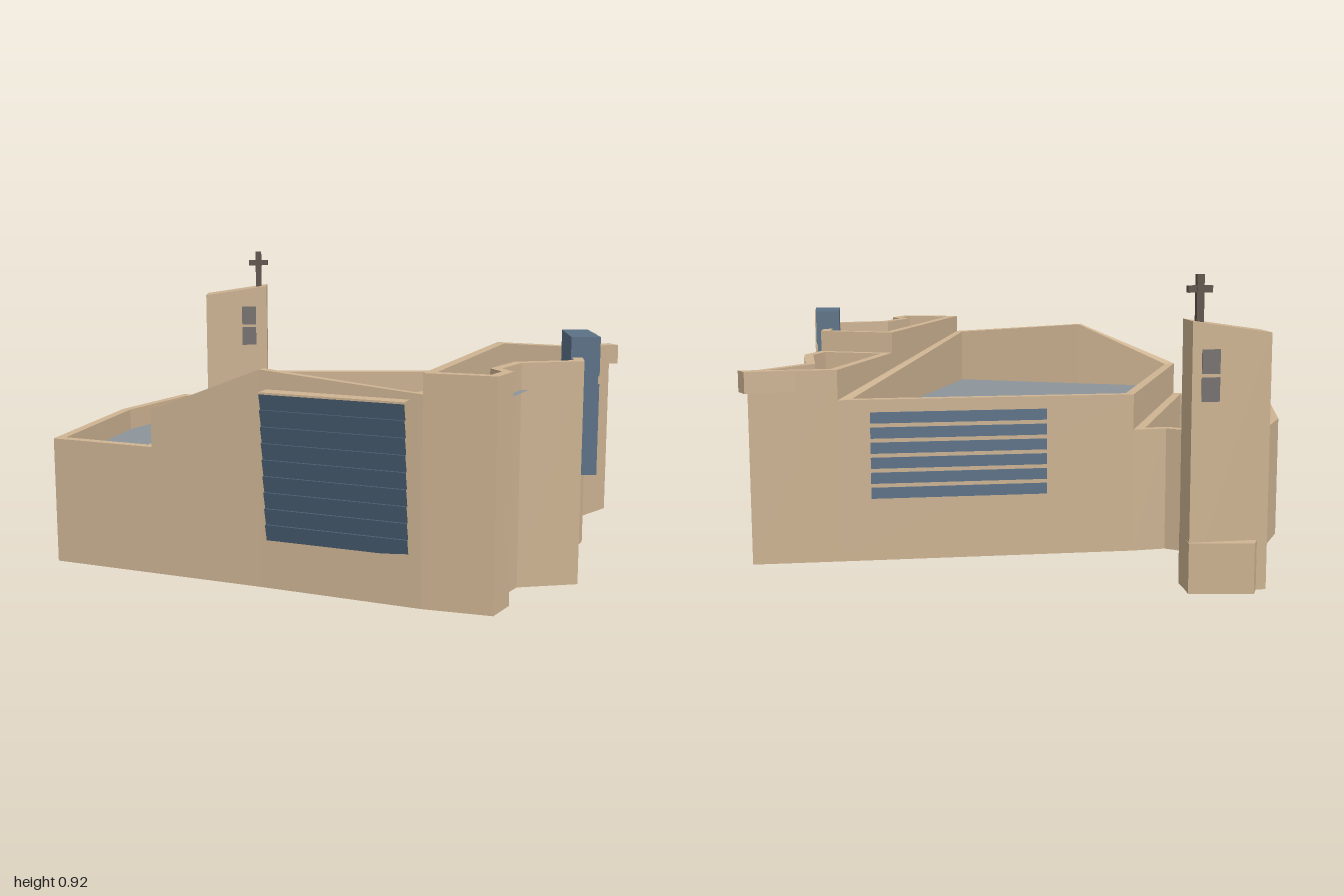
import * as THREE from 'three';

const mat = (color) => new THREE.MeshStandardMaterial({ color, flatShading: true });
const STONE = mat(0xcdb392), GLASS = mat(0x5b7186), DARK = mat(0x4b6174);
const BRONZE = mat(0x5f5048), GREY = mat(0x74706e);
const ROOF = mat(0x8c949a);
ROOF.side = THREE.DoubleSide;

const WALL = 0.03;

// Plan corners: [x, z, optional height]
const A = [-0.75, 0.2], B = [-0.13, -0.395], C = [0.73, -0.02], D = [-0.14, 0.825], E = [0.38, 0.325], F = [0.565, 0.51];

function addMesh(group, name, geometry, material) {
  const mesh = new THREE.Mesh(geometry, material);
  mesh.name = name;
  group.add(mesh);
  return mesh;
}

function quadGeometry(quads) {
  const pos = [];
  for (const [a, b, c, d] of quads) pos.push(...a, ...b, ...c, ...a, ...c, ...d);
  const g = new THREE.BufferGeometry();
  g.setAttribute('position', new THREE.Float32BufferAttribute(pos, 3));
  g.computeVertexNormals();
  return g;
}

// Put corners in a fixed turning direction
function oriented(pts) {
  let area = 0;
  pts.forEach((p, i) => {
    const q = pts[(i + 1) % pts.length];
    area += p[0] * q[1] - q[0] * p[1];
  });
  return area > 0 ? pts : [...pts].reverse();
}

// Mitred inward offset of a plan outline
function inset(pts, t) {
  const n = pts.length;
  const normal = (p, q) => new THREE.Vector2(p[1] - q[1], q[0] - p[0]).normalize();
  return pts.map((p, i) => {
    const n1 = normal(pts[(i + n - 1) % n], p), n2 = normal(p, pts[(i + 1) % n]);
    const k = Math.min(t / (1 + n1.dot(n2)), t * 2.5);
    return [p[0] + (n1.x + n2.x) * k, p[1] + (n1.y + n2.y) * k];
  });
}

// Hollow ring of walls, open at the bottom, with a roof set below the parapet
function addWing(group, name, outline, height, roofY, skip = []) {
  const pts = oriented(outline), inner = inset(pts, WALL), quads = [];
  const h = (p) => p[2] ?? height;
  pts.forEach((p, i) => {
    const j = (i + 1) % pts.length, q = pts[j], a = inner[i], b = inner[j];
    const at = (v, y) => [v[0], y, v[1]];
    const [pt, qt, ai, bi] = [at(p, h(p)), at(q, h(q)), at(a, h(p)), at(b, h(q))];
    quads.push([at(q, 0), at(p, 0), pt, qt], [at(a, 0), at(b, 0), bi, ai], [pt, ai, bi, qt],
      [at(p, 0), at(q, 0), at(b, 0), at(a, 0)]);
  });
  addMesh(group, name + 'Walls', quadGeometry(quads), STONE);
  const edge = inset(pts, WALL * 0.6).filter((_, i) => !skip.includes(pts[i]));
  const shape = new THREE.Shape(edge.map(([x, z]) => new THREE.Vector2(x, -z)));
  const roof = new THREE.ShapeGeometry(shape).rotateX(-Math.PI / 2).translate(0, roofY, 0);
  addMesh(group, name + 'Roof', roof, ROOF);
}

// Solid prism over a four-cornered plan, each corner with its own top height
function addPrism(group, name, corners, y0, tops, material) {
  const pts = oriented(corners.map((p, i) => [p[0], p[1], tops[i] ?? tops[0]]));
  const lo = pts.map((p) => [p[0], y0, p[1]]), hi = pts.map((p) => [p[0], p[2], p[1]]);
  const quads = lo.map((p, i) => {
    const j = (i + 1) % 4;
    return [lo[j], p, hi[i], hi[j]];
  });
  quads.push([hi[3], hi[2], hi[1], hi[0]], lo);
  return addMesh(group, name, quadGeometry(quads), material);
}

// Upright box running between two plan points
function addPanel(group, name, p, q, y0, y1, thick, material) {
  const dx = q[0] - p[0], dz = q[1] - p[1];
  const m = addMesh(group, name, new THREE.BoxGeometry(Math.hypot(dx, dz), y1 - y0, thick), material);
  m.position.set((p[0] + q[0]) / 2, (y0 + y1) / 2, (p[1] + q[1]) / 2);
  m.rotation.y = Math.atan2(-dz, dx);
  return m;
}

const lerp = (p, q, t) => [p[0] + (q[0] - p[0]) * t, p[1] + (q[1] - p[1]) * t];

function addLouvers(group) {
  // Sawtooth profile leaning outwards towards the top
  const y0 = 0.15, y1 = 0.6, count = 9, step = (y1 - y0) / count;
  const shape = new THREE.Shape();
  shape.moveTo(-0.01, y0);
  for (let i = 0; i < count; i++) {
    const out = 0.005 + 0.035 * i / (count - 1);
    shape.lineTo(out - 0.004, y0 + i * step);
    shape.lineTo(out + 0.008, y0 + (i + 1) * step);
  }
  shape.lineTo(-0.01, y1);
  const geo = new THREE.ExtrudeGeometry(shape, { depth: 0.445, bevelEnabled: false });
  const louvers = new THREE.Group();
  louvers.name = 'louvers';
  addMesh(louvers, 'louverSlats', geo, [STONE, DARK]);
  const cap = addMesh(louvers, 'louverCap', new THREE.BoxGeometry(0.058, 0.006, 0.445), STONE);
  cap.position.set(0.019, y1, 0.2225);
  louvers.position.set(-0.165, 0, 0.795);
  louvers.rotation.y = -Math.PI * 0.75;
  group.add(louvers);
}

function addTower(group) {
  const tower = new THREE.Group();
  tower.name = 'bellTower';
  const left = [-0.25, -0.853], front = [-0.03, -0.77], right = [0.005, -0.86], back = [-0.213, -0.947];
  addPrism(tower, 'towerBase', [[-0.28, -0.85], [-0.04, -0.755], [0.01, -0.865], [-0.15, -0.967]], 0, [0.15], STONE);
  addPrism(tower, 'towerShaft', [left, front, right, back], 0, [0.755, 0.79, 0.79, 0.755], STONE);
  // Paired openings on the two broad faces
  for (const y of [0.56, 0.64]) {
    addPanel(tower, 'towerWindowFront', lerp(left, front, 0.59), lerp(left, front, 0.82), y, y + 0.07, 0.006, GREY);
    addPanel(tower, 'towerWindowBack', lerp(right, back, 0.12), lerp(right, back, 0.35), y, y + 0.07, 0.006, GREY);
  }
  addPanel(tower, 'crossPost', [-0.051, -0.834], [-0.031, -0.826], 0.78, 0.92, 0.02, BRONZE);
  addPanel(tower, 'crossArm', [-0.075, -0.843], [-0.007, -0.817], 0.868, 0.888, 0.018, BRONZE);
  group.add(tower);
}

export function createModel() {
  const model = new THREE.Group();
  model.name = 'church';

  // Main hall with a peaked parapet on the louvered side
  addWing(model, 'hall', [A, B, C, [...D, 0.62], [-0.49, 0.46, 0.66]], 0.515, 0.43);

  // Three lower and higher wings around it
  addWing(model, 'chapel', [D, [0.02, 0.96], [0.105, 0.9], [0.105, 0.835], [0.21, 0.765], [0.395, 0.81], F, E], 0.68, 0.6, [D]);
  addWing(model, 'porch', [E, F, [0.66, 0.43], [0.75, 0.19], [0.98, 0.09], C], 0.61, 0.54);
  const inner = [-0.235, -0.43];
  addWing(model, 'sacristy', [A, [-1, -0.05], [-0.68, -0.47], [-0.39, -0.69], inner, B], 0.4, 0.33, [inner, B]);

  // Rain spout at the porch tip
  addPrism(model, 'rainSpout', [[0.85, 0.025], [1, 0.06], [1, 0.115], [0.96, 0.095]], 0.545, [0.612], STONE);

  // Projecting glass bay with a cross on its face
  const bayFront = [0.48, 0.765], bayBack = [0.55, 0.59];
  addPrism(model, 'glassBay', [[0.40, 0.73], bayFront, bayBack, [0.475, 0.56]], 0.32, [0.742], GLASS);
  addPanel(model, 'bayCrossPost', lerp(bayFront, bayBack, 0.43), lerp(bayFront, bayBack, 0.57), 0.32, 0.742, 0.008, STONE);
  addPanel(model, 'bayCrossArm', bayFront, bayBack, 0.6, 0.625, 0.008, STONE);

  // Porch window
  addPanel(model, 'porchWindow', [0.679, 0.38], [0.698, 0.33], 0.335, 0.552, 0.008, GLASS);

  // Six strip windows along the back of the hall
  const s0 = lerp(B, C, 0.3), s1 = lerp(B, C, 0.895);
  for (let i = 0; i < 6; i++) {
    const y = 0.2 + i * 0.048;
    addPanel(model, 'stripWindow', s0, s1, y, y + 0.035, 0.008, GLASS);
  }

  addLouvers(model);
  addTower(model);
  return model;
}
